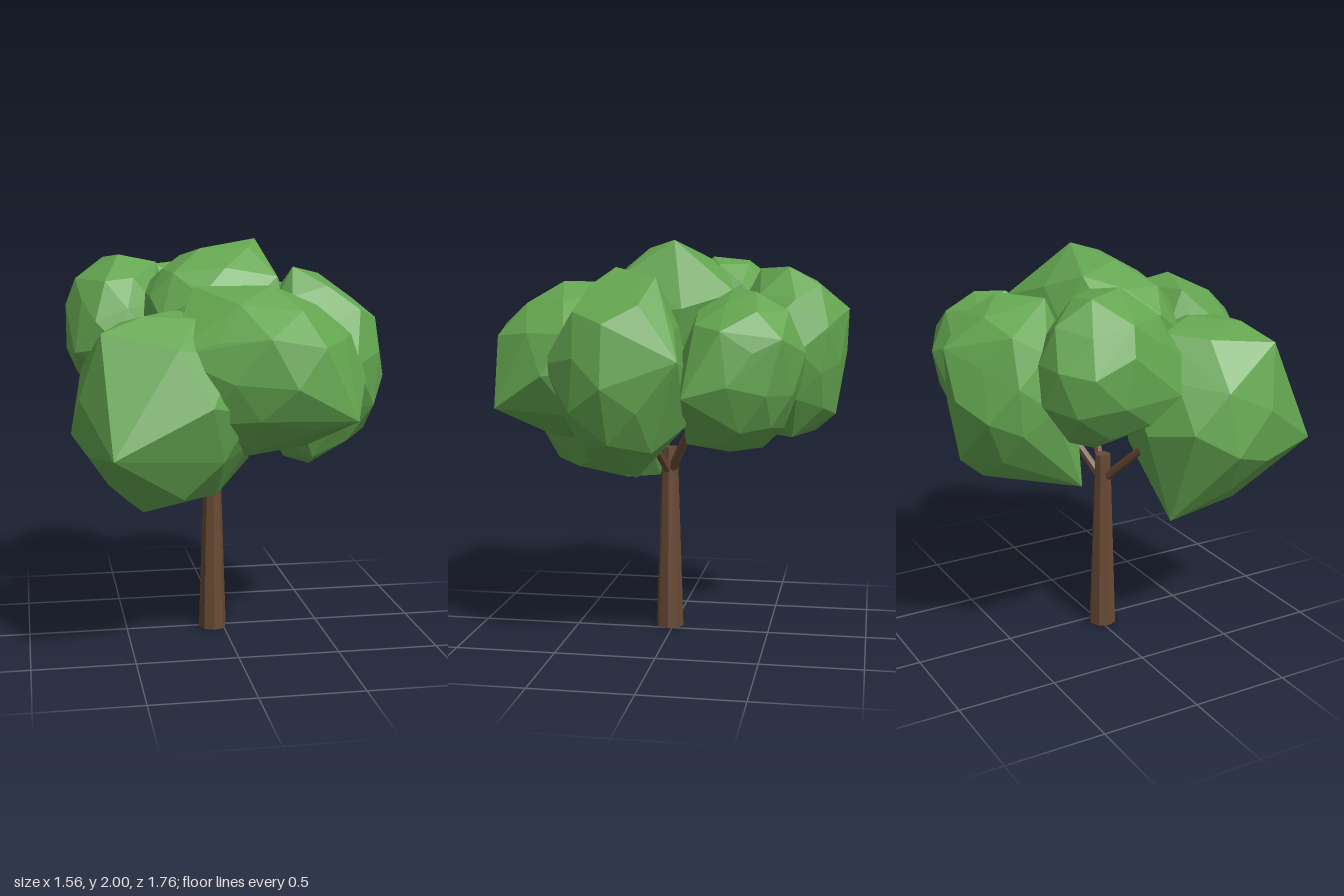
import * as THREE from 'three';
import { ConvexGeometry } from 'three/addons/geometries/ConvexGeometry.js';
import { mergeVertices } from 'three/addons/utils/BufferGeometryUtils.js';

const V = (p) => new THREE.Vector3(...p);

function seeded(seed) {
  let s = seed * 7919 + 17;
  return () => (s = (s * 16807) % 2147483647) / 2147483647;
}

// Faceted leaf mass: an uneven icosphere filling centre +- radii, with a few jutting corners
function clump(name, seed, centre, radii, corners, material) {
  const rand = seeded(seed);
  const ico = new THREE.IcosahedronGeometry(1, 1);
  ico.deleteAttribute('normal');
  ico.deleteAttribute('uv');
  const pos = mergeVertices(ico, 1e-3).attributes.position;
  const turn = new THREE.Euler(rand() * 3, rand() * 3, rand() * 3);
  const points = [];
  for (let i = 0; i < pos.count; i++) {
    const p = new THREE.Vector3().fromBufferAttribute(pos, i).applyEuler(turn);
    points.push(p.multiplyScalar(0.87 + rand() * 0.15));
  }
  const box = new THREE.Box3().setFromPoints(points);
  const mid = box.getCenter(new THREE.Vector3());
  const half = box.getSize(new THREE.Vector3()).multiplyScalar(0.5);
  points.forEach((p) => p.sub(mid).divide(half).multiply(V(radii)).add(V(centre)));
  // Each corner takes the place of the nearest free point
  const tips = corners.map(V);
  for (const tip of tips) {
    points.sort((a, b) => a.distanceTo(tip) - b.distanceTo(tip));
    points.shift();
  }
  const mesh = new THREE.Mesh(new ConvexGeometry([...points, ...tips]), material);
  mesh.name = name;
  return mesh;
}

// Tapered limb between two points
function limb(name, from, to, r0, r1, sides, material) {
  const a = V(from), dir = V(to).sub(a), len = dir.length();
  const geo = new THREE.CylinderGeometry(r1, r0, len, sides).translate(0, len / 2, 0);
  const mesh = new THREE.Mesh(geo, material);
  mesh.name = name;
  mesh.position.copy(a);
  mesh.quaternion.setFromUnitVectors(new THREE.Vector3(0, 1, 0), dir.normalize());
  return mesh;
}

export function createModel() {
  const leaf = new THREE.MeshStandardMaterial({ color: 0x64a650, flatShading: true });
  leaf.name = 'leafGreen';
  const bark = new THREE.MeshStandardMaterial({ color: 0x684933, flatShading: true });
  bark.name = 'barkBrown';

  const tree = new THREE.Group();
  tree.name = 'tree';

  // Trunk and the branches that carry the crown
  tree.add(limb('trunk', [-0.055, 0, 0.02], [-0.055, 0.95, 0.02], 0.071, 0.04, 8, bark));
  const ends = [[0.32, 1.2, 0.14], [0.2, 1.25, -0.2], [-0.3, 1.05, 0.12]];
  ends.forEach((end, i) =>
    tree.add(limb(`branch${i + 1}`, [-0.055, 0.81, 0.02], end, 0.024, 0.018, 6, bark)));

  // Crown of overlapping leaf masses
  const crown = new THREE.Group();
  crown.name = 'crown';
  const add = (name, seed, centre, radii, ...corners) =>
    crown.add(clump(name, seed, centre, radii, corners, leaf));
  add('frontLowClump', 3, [-0.34, 1.22, 0.42], [0.44, 0.46, 0.4],
    [-0.62, 1.07, 0.88], [-0.65, 1.6, 0.62], [-0.5, 0.72, 0.15], [-0.46, 0.76, 0.55], [0.08, 0.95, 0.3]);
  add('frontHighClump', 4, [0.13, 1.4, 0.48], [0.47, 0.4, 0.38],
    [0.5, 1.2, 0.78], [-0.2, 1.79, 0.38], [-0.35, 1.5, 0.66], [0.03, 1, 0.5]);
  add('leftClump', 5, [0.44, 1.37, 0.18], [0.34, 0.47, 0.32],
    [0.43, 0.87, 0.1], [0.55, 1.77, 0.1], [0.31, 1.87, 0.22], [0.7, 1.45, -0.14], [0.56, 1.42, 0.52]);
  add('backLeftClump', 6, [0.37, 1.38, -0.4], [0.3, 0.39, 0.3],
    [0.59, 1.55, -0.6], [0.67, 1.28, -0.15], [0.17, 1, -0.1]);
  add('backClump', 7, [-0.2, 1.44, -0.57], [0.32, 0.43, 0.3],
    [-0.2, 1.66, -0.88], [-0.2, 1.12, -0.82], [-0.48, 0.99, -0.33], [0.1, 1.4, -0.32], [-0.3, 1.86, -0.42]);
  add('rightClump', 8, [-0.5, 1.55, -0.2], [0.27, 0.37, 0.35],
    [-0.72, 1.8, -0.2], [-0.31, 1.88, -0.2], [-0.74, 1.45, 0.04]);
  add('topClump', 9, [-0.04, 1.58, 0], [0.39, 0.38, 0.36],
    [0.17, 2, -0.04], [0.27, 1.75, -0.35], [-0.38, 1.73, 0.15]);
  tree.add(crown);
  return tree;
}
